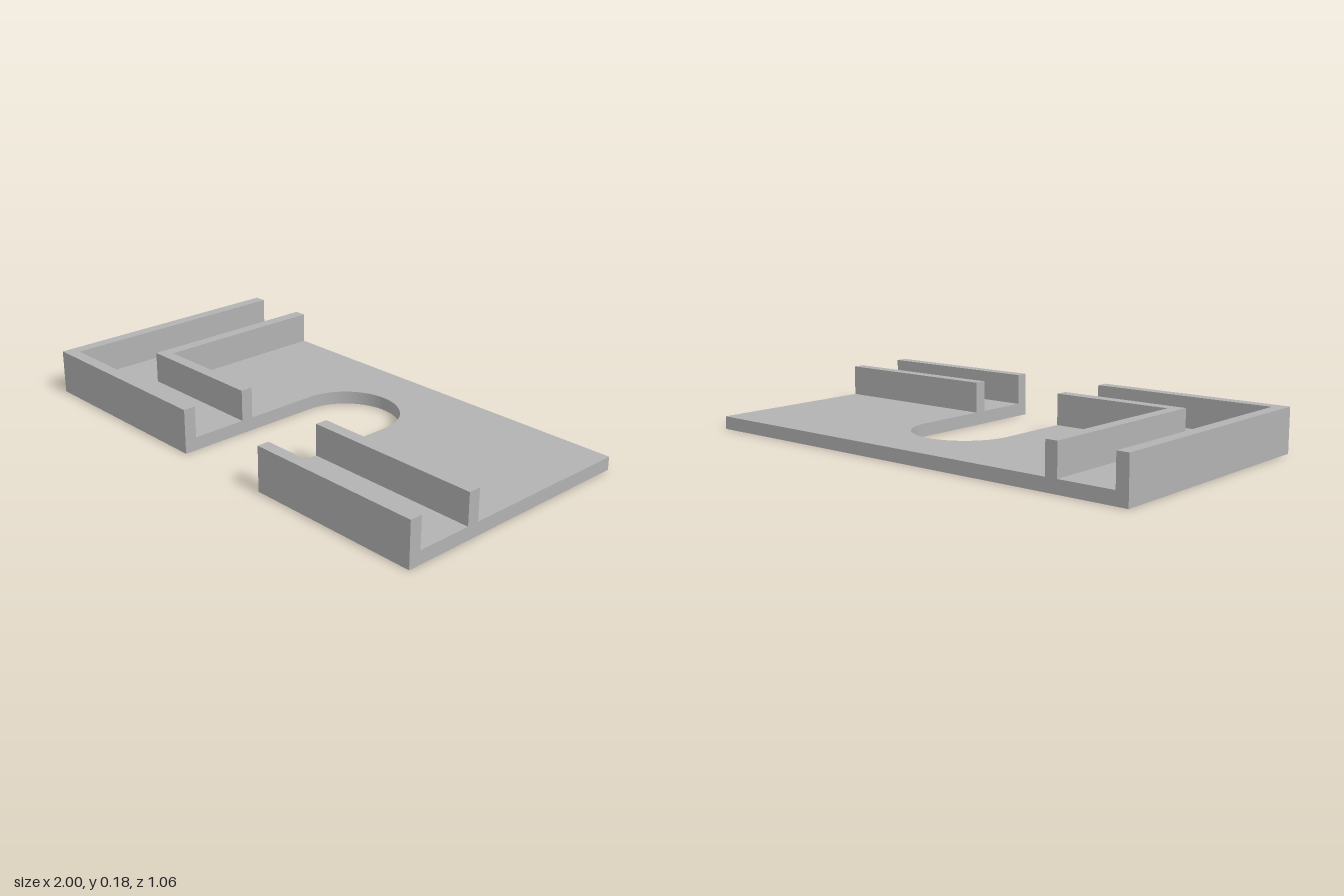
import * as THREE from 'three';

const FLOOR = 0.053, TOP = 0.18, BACK = -0.53, FRONT = 0.53;
const SLOT_X = 0.0525, SLOT_R = 0.2125, SLOT_Z = -0.105;
const SLOT_LEFT = SLOT_X + SLOT_R, SLOT_RIGHT = SLOT_X - SLOT_R;

export function createModel() {
  const group = new THREE.Group();
  const grey = new THREE.MeshStandardMaterial({ color: 0xb2b2b2 });
  grey.name = 'plain grey';

  // Raises a plan outline (shape y = -z) from one height to another
  const addPlan = (name, shape, y0, y1) => {
    const geometry = new THREE.ExtrudeGeometry(shape, {
      depth: y1 - y0, bevelEnabled: false, curveSegments: 48,
    });
    geometry.rotateX(-Math.PI / 2);
    geometry.translate(0, y0, 0);
    const mesh = new THREE.Mesh(geometry, grey);
    mesh.name = name;
    group.add(mesh);
  };
  const outline = (points) => new THREE.Shape(points.map(([x, z]) => new THREE.Vector2(x, -z)));

  // Base plate with a round-ended slot open to the front
  const base = new THREE.Shape();
  base.moveTo(-1, -FRONT);
  base.lineTo(SLOT_RIGHT, -FRONT);
  base.lineTo(SLOT_RIGHT, -SLOT_Z);
  base.absarc(SLOT_X, -SLOT_Z, SLOT_R, Math.PI, 0, true);
  base.lineTo(SLOT_LEFT, -FRONT);
  base.lineTo(1, -FRONT);
  base.lineTo(1, -BACK);
  base.lineTo(-1, -BACK);
  base.closePath();
  addPlan('basePlate', base, 0, FLOOR);

  // Outer and inner walls: an L on the right, a straight run on the left
  const walls = [
    { name: 'outer', x: -1, z: FRONT, thick: 0.05 },
    { name: 'inner', x: -0.72, z: 0.253, thick: 0.05 },
  ];
  for (const { name, x, z, thick } of walls) {
    addPlan(name + 'CornerWall', outline([
      [x, z], [SLOT_RIGHT, z], [SLOT_RIGHT, z - thick],
      [x + thick, z - thick], [x + thick, BACK], [x, BACK],
    ]), FLOOR, TOP);
    addPlan(name + 'StraightWall', outline([
      [SLOT_LEFT, z], [1, z], [1, z - thick], [SLOT_LEFT, z - thick],
    ]), FLOOR, TOP);
  }
  return group;
}
